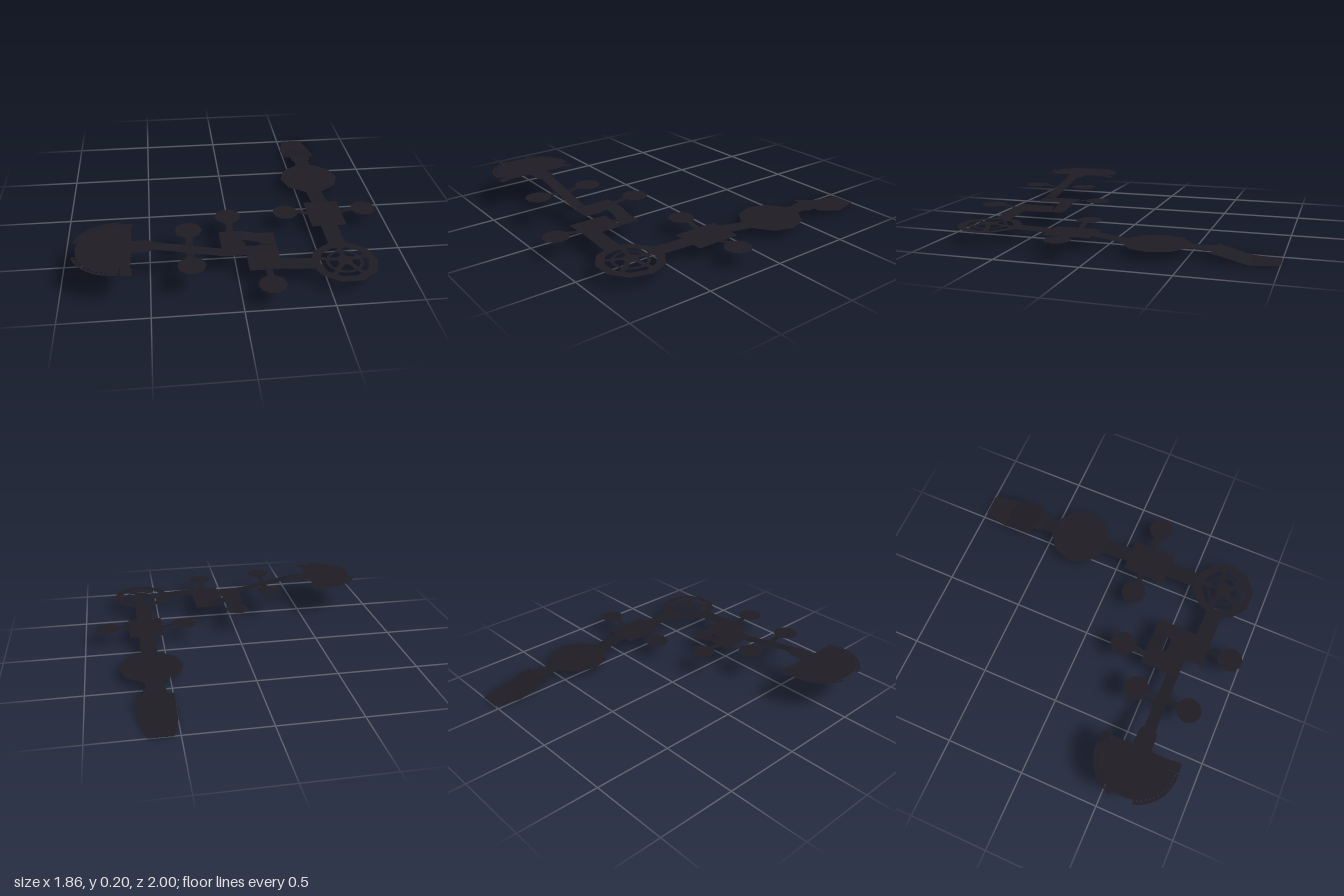
import * as THREE from 'three';

const material = new THREE.MeshStandardMaterial({ color: 0x1e1c23, side: THREE.DoubleSide });

// Outline helpers, all in (x, z)
const rect = (x0, x1, z0, z1) => [[x0, z0], [x1, z0], [x1, z1], [x0, z1]];
const arc = (cx, cz, r, a0, a1, n) => Array.from({ length: n + 1 }, (_, i) => {
  const a = a0 + (a1 - a0) * i / n;
  return [cx + r * Math.cos(a), cz + r * Math.sin(a)];
});
const polygon = (cx, cz, r, n = 10) => arc(cx, cz, r, 0, Math.PI * 2, n).slice(0, n);

export function createModel() {
  const model = new THREE.Group();

  // Thin floor plate; height is a number or a rule of (x, z)
  function plate(parent, name, outline, height, holes = []) {
    const toV = ([x, z]) => new THREE.Vector2(x, -z);
    const shape = new THREE.Shape(outline.map(toV));
    for (const h of holes) shape.holes.push(new THREE.Path(h.map(toV)));
    const geo = new THREE.ShapeGeometry(shape).rotateX(-Math.PI / 2);
    const p = geo.attributes.position;
    for (let i = 0; i < p.count; i++) {
      p.setY(i, typeof height === 'number' ? height : height(p.getX(i), p.getZ(i)));
    }
    geo.computeVertexNormals();
    const mesh = new THREE.Mesh(geo, material);
    mesh.name = name;
    parent.add(mesh);
  }
  const group = (name) => {
    const g = new THREE.Group();
    g.name = name;
    model.add(g);
    return g;
  };
  const ramp = (a, ya, b, yb, axis) => (x, z) =>
    ya + (yb - ya) * ((axis === 'x' ? x : z) - a) / (b - a);
  const rampX = (name, x0, y0, x1, y1, z0, z1) =>
    plate(model, name, rect(x0, x1, z0, z1), ramp(x0, y0, x1, y1, 'x'));
  const rampZ = (name, z0, y0, z1, y1, x0, x1) =>
    plate(model, name, rect(x0, x1, z0, z1), ramp(z0, y0, z1, y1, 'z'));

  // Straight wing: entry slope, round hall, square hall
  const cx = 0.606;
  plate(model, 'entryTip', [[0.536, -1], [0.676, -1], [0.714, -0.84], [0.498, -0.84]], 0);
  rampZ('entrySlope', -0.84, 0, -0.638, 0.05, 0.498, 0.714);
  plate(model, 'entryDoorway', rect(0.54, 0.672, -0.638, -0.58), 0.05);
  rampZ('firstCorridor', -0.58, 0.05, -0.498, 0.054, 0.553, 0.656);
  plate(model, 'roundHall', polygon(cx, -0.313, 0.195), 0.054);
  rampZ('secondCorridor', -0.13, 0.054, 0.054, 0.08, 0.553, 0.656);
  plate(model, 'squareHall', rect(0.498, 0.714, 0.054, 0.335), 0.08);
  rampZ('thirdCorridor', 0.335, 0.08, 0.54, 0.087, 0.553, 0.656);

  // Small round side rooms
  for (const [x, z, y] of [
    [0.355, 0.181, 0.098], [0.854, 0.181, 0.098], [0.162, 0.922, 0.113],
    [-0.018, 0.26, 0.14], [-0.268, 0.45, 0.179], [-0.268, 0.798, 0.179],
  ]) plate(model, 'sideRoom', polygon(x, z, 0.08), y);
  rampX('sidePassage', 0.428, 0.098, 0.498, 0.08, 0.163, 0.199);
  rampX('sidePassage', 0.714, 0.08, 0.779, 0.098, 0.163, 0.199);
  rampZ('sidePassage', 0.772, 0.1, 0.849, 0.113, 0.143, 0.181);
  rampZ('sidePassage', 0.333, 0.14, 0.41, 0.127, -0.037, 0.001);
  rampZ('sidePassage', 0.523, 0.179, 0.585, 0.167, -0.287, -0.249);
  rampZ('sidePassage', 0.66, 0.167, 0.725, 0.179, -0.287, -0.249);

  // Wheel-shaped hub room, its middle slightly raised
  const wheel = group('wheelRoom');
  const wz = 0.721;
  const dome = (x, z) => THREE.MathUtils.mapLinear(
    THREE.MathUtils.clamp(Math.hypot(x - cx, z - wz), 0.046, 0.1), 0.046, 0.1, 0.097, 0.087);
  plate(wheel, 'outerRing', polygon(cx, wz, 0.195), 0.087, [polygon(cx, wz, 0.143)]);
  plate(wheel, 'innerRing', polygon(cx, wz, 0.108, 20), dome, [polygon(cx, wz, 0.09, 20)]);
  plate(wheel, 'centre', polygon(cx, wz, 0.046), 0.097);
  for (let i = 0; i < 5; i++) {
    const a = -Math.PI / 2 + i * Math.PI * 2 / 5;
    const c = Math.cos(a), s = Math.sin(a);
    for (const [r0, r1] of [[0.035, 0.1], [0.1, 0.148]]) {
      const spoke = [[r0, -0.015], [r1, -0.015], [r1, 0.015], [r0, 0.015]]
        .map(([r, w]) => [cx + r * c - w * s, wz + r * s + w * c]);
      plate(wheel, 'spoke', spoke, dome);
    }
  }

  // Bent wing: lower room, turning ramp, upper room
  rampX('lowerCorridor', 0.242, 0.1, 0.43, 0.087, 0.67, 0.772);
  plate(model, 'lowerRoom', rect(0.055, 0.242, 0.53, 0.772), 0.1);
  plate(model, 'turnLanding', rect(0.147, 0.242, 0.41, 0.53), 0.104);
  rampX('turnRamp', 0.042, 0.128, 0.147, 0.104, 0.41, 0.503);
  plate(model, 'upperRoom', [
    [-0.085, 0.41], [0.042, 0.41], [0.042, 0.53], [0.055, 0.53], [0.055, 0.66], [-0.085, 0.66],
  ], 0.128);
  rampX('longRamp', -0.47, 0.203, -0.085, 0.13, 0.585, 0.66);

  // Half-round hall at the end, with a rim on short ties
  const fan = group('halfRoundHall');
  const fx = -0.672, fz = 0.622, fy = 0.203, half = Math.PI / 2;
  const rx = fx - 0.008;
  plate(fan, 'hallEntrance',
    [[-0.6, 0.563], ...arc(-0.515, fz, 0.058, -half, half, 8), [-0.6, 0.68]], fy);
  plate(fan, 'hallFloor',
    [[-0.655, 0.863], ...arc(fx, fz, 0.237, half, 3 * half, 20), [-0.655, 0.381]], fy);
  plate(fan, 'frontStrip', rect(-0.652, -0.599, 0.42, 0.824), fy);
  plate(fan, 'stripJoint', rect(-0.656, -0.651, 0.44, 0.804), fy);
  for (const s of [-1, 1]) {
    const start = s * half, end = s * (Math.PI - 0.28);
    plate(fan, 'rim', [
      ...arc(rx, fz, 0.258, start, end, 14),
      ...arc(rx, fz, 0.244, end, start, 14),
    ], fy);
    plate(fan, 'rimEnd', rect(rx, -0.66, fz + s * 0.251 - 0.007, fz + s * 0.251 + 0.007), fy);
    for (let i = 0; i < 12; i++) {
      const a = start + (end - start) * (i + 0.15) / 12;
      const b = a + s * 0.08;
      plate(fan, 'rimTie', [...arc(rx, fz, 0.247, a, b, 1), ...arc(fx, fz, 0.232, b, a, 1)], fy);
    }
    // Sloping steps at both ends of the strip
    plate(fan, 'endStep', rect(-0.652, -0.591, fz + s * 0.202, fz + s * 0.255),
      (x, z) => fy - 0.01 * (Math.abs(z - fz) - 0.202) / 0.053);
  }
  return model;
}
